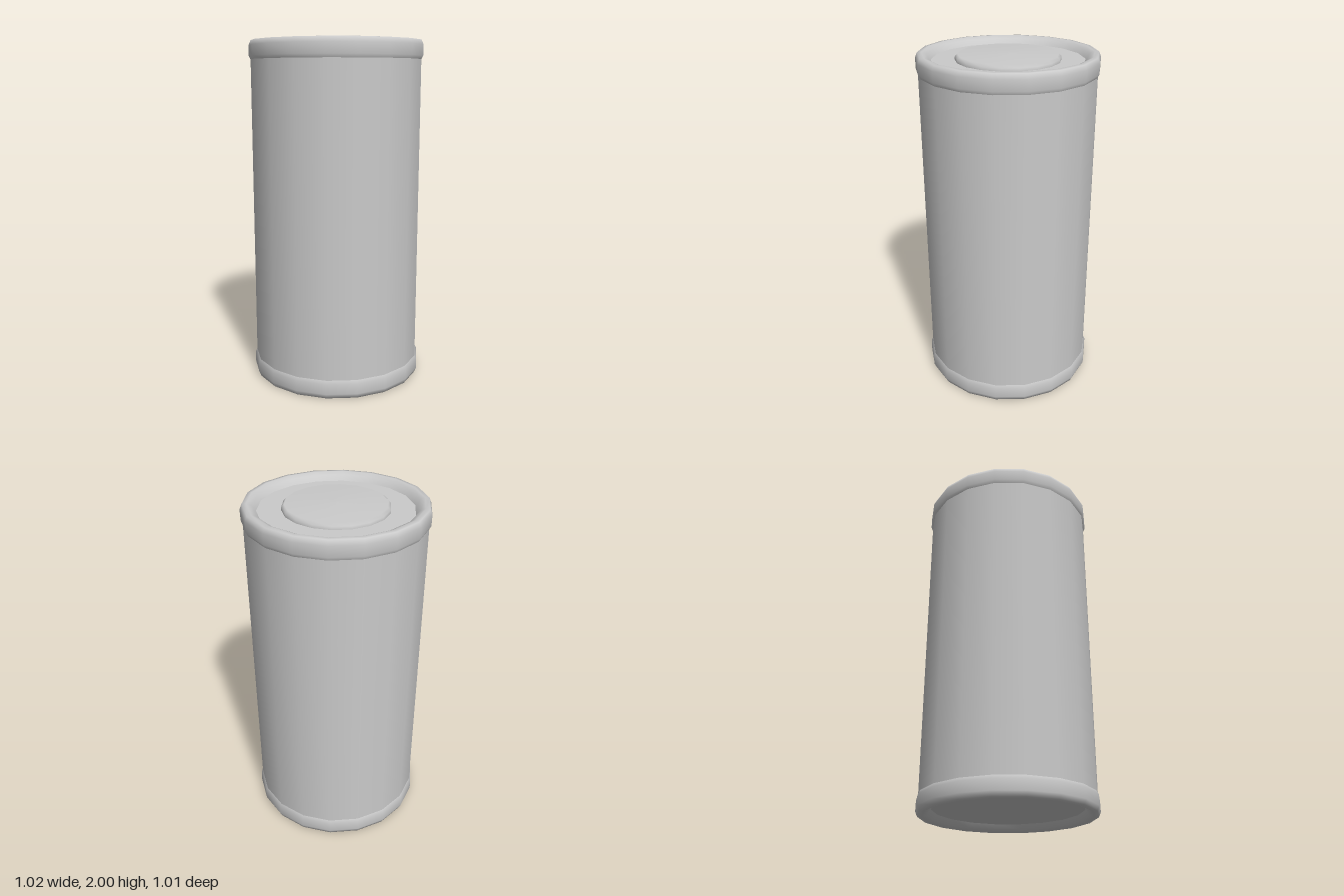
import * as THREE from 'three';

const SIDES = 18;

export function createModel() {
  const model = new THREE.Group();
  const metal = new THREE.MeshStandardMaterial({ color: 0xcacaca });
  metal.name = 'light grey metal';

  // Turned part: profile of [radius, height], with a corner on the x axis
  function turned(name, profile) {
    const points = profile.map(([r, y]) => new THREE.Vector2(r, y));
    const mesh = new THREE.Mesh(new THREE.LatheGeometry(points, SIDES, Math.PI / 2), metal);
    mesh.name = name;
    model.add(mesh);
  }

  // Mirrored about mid height, reversed so the faces stay outward
  const flip = (profile) => profile.map(([r, y]) => [r, 2 - y]).reverse();

  // Straight wall
  turned('body', [[0.5, 0.09], [0.5, 1.91]]);

  // Rolled rims
  const rim = [
    [0.498, 1.887], [0.51, 1.91], [0.511, 1.97], [0.499, 1.998],
    [0.475, 2], [0.447, 1.987], [0.425, 1.957],
  ];
  turned('topRim', rim);
  turned('bottomRim', flip(rim));

  // Recessed end plates
  const lid = [[0.427, 1.958], [0, 1.958]];
  turned('lid', lid);
  turned('base', flip(lid));

  // Raised disc with a rounded edge
  turned('lidPanel', [[0.294, 1.957], [0.293, 1.975], [0.278, 1.989], [0, 1.994]]);

  return model;
}
